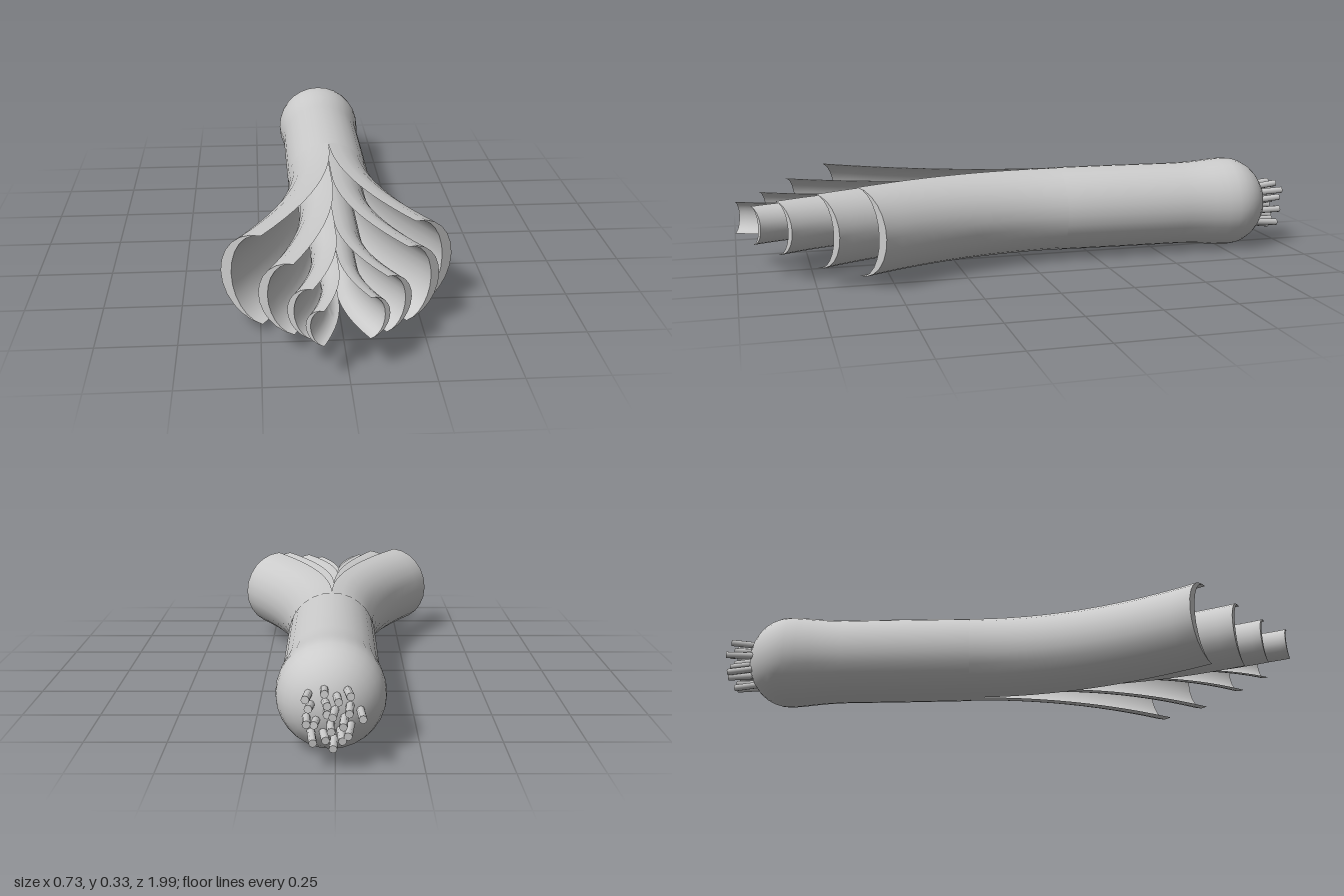
import * as THREE from 'three';
import { toCreasedNormals } from 'three/addons/utils/BufferGeometryUtils.js';

const material = new THREE.MeshStandardMaterial({ color: 0xcccccc, side: THREE.DoubleSide });
const AXIS_X = 0.012;
// the stalk rises very slightly towards the leaf tips
const axisY = (z) => 0.171 + 0.0095 * z;

function addMesh(parent, name, geometry) {
  const mesh = new THREE.Mesh(geometry, material);
  mesh.name = name;
  parent.add(mesh);
  return mesh;
}

// Hollow bulb and stalk, turned around z
function bulbGeometry() {
  const profile = [];
  for (let i = 0; i <= 8; i++) {
    const a = (i / 8) * Math.PI / 2;
    profile.push(new THREE.Vector2(0.163 * Math.sin(a), -0.78 - 0.148 * Math.cos(a)));
  }
  [[0.161, -0.74], [0.156, -0.69], [0.152, -0.64], [0.15, -0.58], [0.15, -0.35], [0.149, -0.13]]
    .forEach(([r, z]) => profile.push(new THREE.Vector2(r, z)));
  const geometry = new THREE.LatheGeometry(profile, 28);
  geometry.rotateX(Math.PI / 2);
  const p = geometry.attributes.position;
  for (let i = 0; i < p.count; i++) {
    p.setXYZ(i, p.getX(i) + AXIS_X, p.getY(i) + axisY(p.getZ(i)), p.getZ(i));
  }
  return geometry;
}

// Half-tube leaf with a crescent section, straight until bendZ, then curling sideways
function leafGeometry({ side, r, x0, startZ, bendZ, endZ, k }) {
  const n = 12, ring = 2 * n, bendSteps = 12;
  const section = [];
  for (let i = 0; i < ring; i++) {
    const outer = i <= n;
    const a = -Math.PI / 2 + Math.PI * (outer ? i : ring - i) / n;
    section.push([r * Math.cos(a) * (outer ? 1 : 0.74), r * Math.sin(a)]);
  }
  const rows = [startZ];
  for (let j = 0; j <= bendSteps; j++) rows.push(bendZ + (endZ - bendZ) * j / bendSteps);

  const positions = [], index = [];
  const tri = (a, b, c) => (side > 0 ? index.push(a, b, c) : index.push(a, c, b));
  rows.forEach((z, j) => {
    const d = Math.max(0, z - bendZ);
    const angle = Math.atan(2 * k * d);
    for (const [u, v] of section) {
      positions.push(
        x0 + side * (k * d * d + u * Math.cos(angle)),
        axisY(z) + v,
        z - u * Math.sin(angle)
      );
    }
    if (j === 0) return;
    for (let i = 0; i < ring; i++) {
      const a = (j - 1) * ring + i, b = (j - 1) * ring + (i + 1) % ring;
      tri(a, b, b + ring);
      tri(a, b + ring, a + ring);
    }
  });
  // crescent end faces
  const last = (rows.length - 1) * ring;
  for (let i = 0; i < n; i++) {
    const inA = (ring - i) % ring, inB = ring - i - 1;
    if (i < n - 1) {
      tri(last + i + 1, last + inB, last + i);
      tri(i + 1, i, inB);
    }
    if (i > 0) {
      tri(last + i, last + (i < n - 1 ? inB : i + 1), last + inA);
      tri(i, inA, i < n - 1 ? inB : i + 1);
    }
  }
  const geometry = new THREE.BufferGeometry();
  geometry.setAttribute('position', new THREE.Float32BufferAttribute(positions, 3));
  geometry.setIndex(index);
  return toCreasedNormals(geometry, 0.7);
}

export function createModel() {
  const model = new THREE.Group();
  model.name = 'leek';
  addMesh(model, 'bulbAndStalk', bulbGeometry());

  // Nested leaf pairs, outermost first: [side, radius, axis x, bend start, tip z, curl]
  const leaves = new THREE.Group();
  leaves.name = 'leaves';
  model.add(leaves);
  [
    [-1, 0.148, AXIS_X, -0.11, 0.69, 0.40],
    [1, 0.148, AXIS_X, -0.13, 0.61, 0.40],
    [-1, 0.115, 0.005, 0.17, 0.82, 0.37],
    [1, 0.123, 0.005, 0.13, 0.74, 0.50],
    [-1, 0.080, -0.008, 0.53, 0.915, 0.63],
    [1, 0.090, -0.010, 0.445, 0.865, 0.71],
    [-1, 0.055, -0.014, 0.73, 0.998, 0.85],
    [1, 0.065, -0.015, 0.645, 0.945, 0.83],
  ].forEach(([side, r, x0, bendZ, endZ, k]) => {
    addMesh(leaves, side > 0 ? 'leftLeaf' : 'rightLeaf',
      leafGeometry({ side, r, x0, startZ: -0.65, bendZ, endZ, k }));
  });

  // Tuft of short roots poking through the base
  const roots = new THREE.Group();
  roots.name = 'roots';
  model.add(roots);
  const count = 19;
  for (let i = 0; i < count; i++) {
    const a = i * 2.4, d = 0.085 * Math.sqrt((i + 0.3) / count);
    const x = AXIS_X + d * Math.cos(a), y = axisY(-0.93) - 0.012 + d * Math.sin(a);
    const tip = -0.975 - 0.02 * ((i * 7) % 5) / 4;
    const from = new THREE.Vector3(x, y, -0.875);
    const to = new THREE.Vector3(x + 0.012 * Math.sin(i * 1.7), y + 0.012 * Math.cos(i * 2.3), tip);
    const dir = to.clone().sub(from);
    const root = addMesh(roots, 'root', new THREE.CylinderGeometry(0.012, 0.012, dir.length(), 8));
    root.position.copy(from).add(to).multiplyScalar(0.5);
    root.quaternion.setFromUnitVectors(new THREE.Vector3(0, 1, 0), dir.normalize());
  }
  return model;
}
